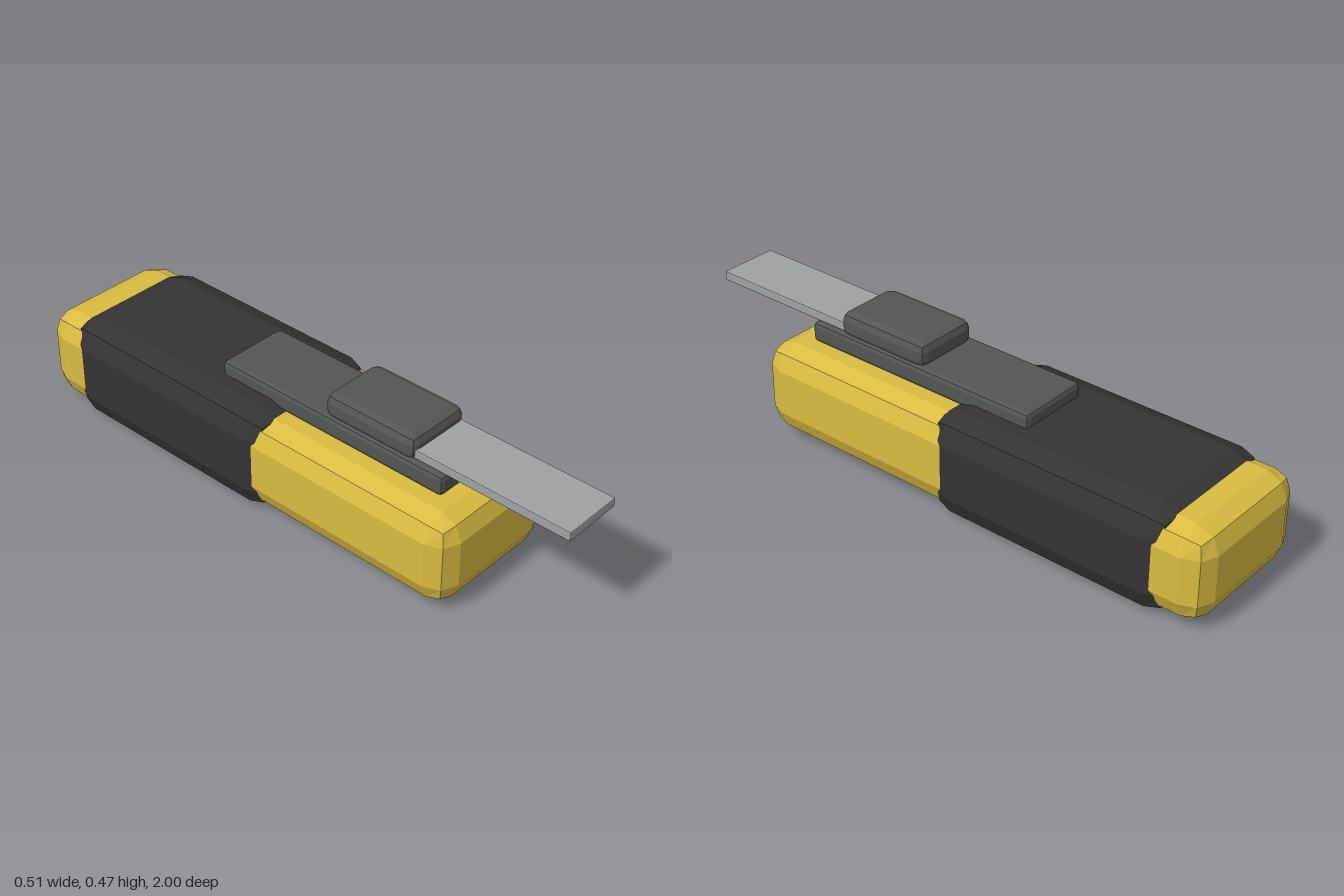
import * as THREE from 'three';
import { RoundedBoxGeometry } from 'three/addons/geometries/RoundedBoxGeometry.js';

const paint = (name, color) => {
  const m = new THREE.MeshStandardMaterial({ color });
  m.name = name;
  return m;
};

// Faceted bevelled box given by its min/max extents; symmetric in x
function bevelBox(name, material, halfWidth, [y0, y1], [z0, z1], bevel) {
  const geo = new RoundedBoxGeometry(halfWidth * 2, y1 - y0, z1 - z0, 1, bevel);
  geo.computeVertexNormals(); // unshared vertices, so this gives flat facets
  geo.translate(0, (y0 + y1) / 2, (z0 + z1) / 2);
  const mesh = new THREE.Mesh(geo, material);
  mesh.name = name;
  return mesh;
}

export function createModel() {
  const yellow = paint('yellow plastic', 0xd9bc40);
  const black = paint('black rubber', 0x343434);
  const grey = paint('dark grey metal', 0x525753);
  const steel = paint('blade steel', 0x9ca2a2);

  const group = new THREE.Group();
  group.name = 'utilityKnife';
  group.add(
    // handle and the grip sleeve wrapped round its rear half
    bevelBox('handleBody', yellow, 0.247, [0.025, 0.33], [-1, 0.69], 0.075),
    bevelBox('gripSleeve', black, 0.257, [0, 0.352], [-0.89, -0.002], 0.085),
    // blade channel on top, thumb slider and blade
    bevelBox('bladeRail', grey, 0.127, [0.329, 0.397], [-0.297, 0.575], 0.015),
    bevelBox('thumbSlider', grey, 0.117, [0.38, 0.468], [0.117, 0.462], 0.028),
    bevelBox('blade', steel, 0.103, [0.394, 0.426], [0.2, 1], 0.004),
  );
  return group;
}
